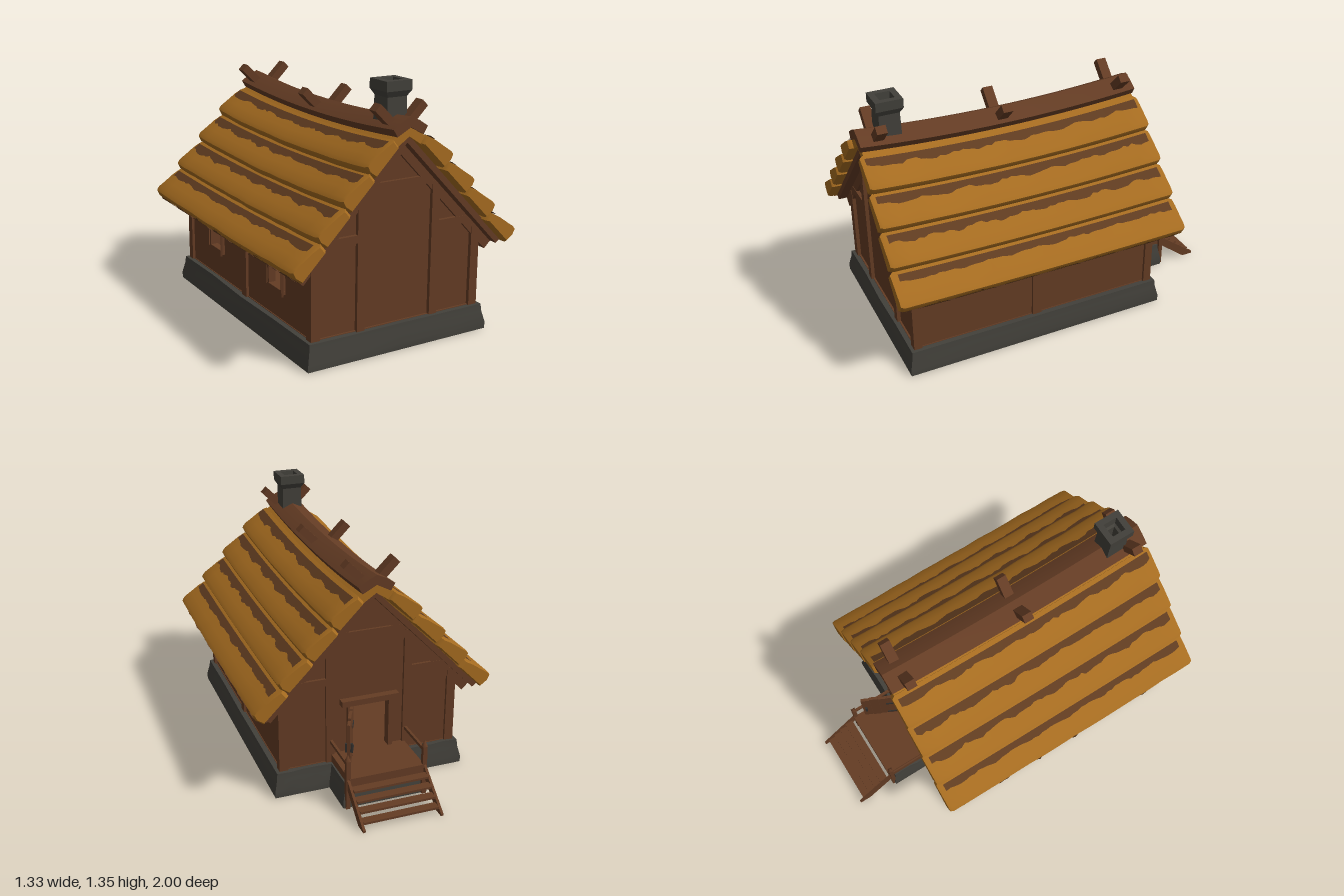
import * as THREE from 'three';
import { toCreasedNormals } from 'three/addons/utils/BufferGeometryUtils.js';

const mat = (name, color, side = THREE.FrontSide) => {
  const m = new THREE.MeshStandardMaterial({ color, side });
  m.name = name;
  return m;
};

export function createModel() {
  const wood = mat('wood', 0x643c24);
  const straw = mat('straw', 0xa66c20);
  const stone = mat('stone', 0x42403a);
  const iron = mat('iron', 0x33302d);
  const oldThatch = mat('old thatch', 0x603c20, THREE.DoubleSide);
  const root = new THREE.Group();
  root.name = 'cottage';

  let seed = 7;
  const rnd = () => (seed = (seed * 16807) % 2147483647) / 2147483647;

  const add = (name, geo, material, parent = root) => {
    const mesh = new THREE.Mesh(geo, material);
    mesh.name = name;
    parent.add(mesh);
    return mesh;
  };
  // box given by its ranges on each axis
  const box = (name, x0, x1, y0, y1, z0, z1, material = wood, parent = root) => {
    const mesh = add(name, new THREE.BoxGeometry(x1 - x0, y1 - y0, z1 - z0), material, parent);
    mesh.position.set((x0 + x1) / 2, (y0 + y1) / 2, (z0 + z1) / 2);
    return mesh;
  };
  // skin over closed rings; plane = axes used to triangulate the end caps
  const loft = (rings, plane, capStart, capEnd, crease = 0.6) => {
    const n = rings[0].length, pos = [];
    const tri = (...p) => p.forEach(v => pos.push(...v));
    for (let i = 0; i + 1 < rings.length; i++) for (let j = 0; j < n; j++) {
      const k = (j + 1) % n, a = rings[i], b = rings[i + 1];
      tri(a[j], a[k], b[k]);
      tri(a[j], b[k], b[j]);
    }
    const cap = (r, flip) => {
      const flat = r.map(p => new THREE.Vector2(p[plane[0]], p[plane[1]]));
      for (const [a, b, c] of THREE.ShapeUtils.triangulateShape(flat, []))
        flip ? tri(r[a], r[c], r[b]) : tri(r[a], r[b], r[c]);
    };
    if (capStart) cap(rings[0], true);
    if (capEnd) cap(rings[rings.length - 1], false);
    const g = new THREE.BufferGeometry();
    g.setAttribute('position', new THREE.Float32BufferAttribute(pos, 3));
    return toCreasedNormals(g, crease);
  };

  // ---- stone foundation ring, including the porch base
  const outline = [[-0.5, 0.9, -1, 1], [0.5, 0.9, 1, 1], [0.5, -0.52, 1, -1], [0.2, -0.52, 1, -1],
    [0.2, -0.73, 1, -1], [-0.2, -0.73, -1, -1], [-0.2, -0.52, -1, -1], [-0.5, -0.52, -1, -1]];
  const wobble = Array.from({ length: 32 }, (_, i) => (i % 4 ? (rnd() - 0.5) * 0.01 : 0));
  const ring = (d, y, w) => outline.flatMap((p, i) => {
    const q = outline[(i + 1) % 8];
    return [0, 1, 2, 3].map(k => {
      const t = k / 4, e = wobble[i * 4 + k] * w;
      const at = (c, s) => p[c] + p[s] * d + (q[c] + q[s] * d - p[c] - p[s] * d) * t;
      return [at(0, 2) + e, y + (y > 0.1 ? e * 0.7 : 0), at(1, 3) + e];
    });
  });
  add('foundation', loft([ring(0.035, 0, 0), ring(0.036, 0.035, 1), ring(0.022, 0.095, 1), ring(0.018, 0.134, 1),
    ring(-0.02, 0.134, 0), ring(-0.012, 0, 0), ring(0.035, 0, 0)], [2, 0], false, false), stone);
  box('floor', -0.49, 0.49, 0.115, 0.137, -0.51, 0.89);

  // ---- walls
  const rect = (P, x0, x1, y0, y1) => {
    const p = new P();
    p.moveTo(x0, y0).lineTo(x1, y0).lineTo(x1, y1).lineTo(x0, y1).closePath();
    return p;
  };
  const gable = holes => {
    const s = new THREE.Shape([[-0.48, 0.13], [0.48, 0.13], [0.48, 0.57], [0, 1.075], [-0.48, 0.57]]
      .map(p => new THREE.Vector2(...p)));
    s.holes.push(...holes);
    return new THREE.ExtrudeGeometry(s, { depth: 0.02, bevelEnabled: false });
  };
  add('frontWall', gable([]), wood).position.z = 0.86;
  add('backWall', gable([rect(THREE.Path, -0.11, 0.1, 0.178, 0.46)]), wood).position.z = -0.505;
  box('leftWall', 0.465, 0.485, 0.13, 0.57, -0.5, 0.87);
  const windows = [-0.15, 0.54];
  const side = rect(THREE.Shape, -0.5, 0.87, 0.13, 0.57);
  windows.forEach(z => side.holes.push(rect(THREE.Path, z - 0.065, z + 0.065, 0.3, 0.455)));
  add('rightWall', new THREE.ExtrudeGeometry(side, { depth: 0.02, bevelEnabled: false }).rotateY(-Math.PI / 2), wood)
    .position.x = -0.465;

  // ---- timber frame
  for (const s of [-1, 1]) {
    const sym = (name, a, b, ...r) => box(name, Math.min(s * a, s * b), Math.max(s * a, s * b), ...r);
    for (const [z0, z1] of [[0.855, 0.9], [-0.52, -0.475]]) {
      sym('cornerPost', 0.45, 0.5, 0.13, 0.575, z0, z1);
      sym('gablePost', 0.195, 0.24, 0.13, 0.84, z0, z1);
      sym('gableRail', 0.24, 0.45, 0.59, 0.63, z0, z1);
      const rafter = add('rafter', new THREE.BoxGeometry(0.81, 0.05, 0.04), wood);
      rafter.position.set(s * 0.28, 0.74, (z0 + z1) / 2);
      rafter.rotation.z = -s * 0.809;
    }
    sym('sidePost', 0.46, 0.5, 0.13, 0.575, 0.168, 0.22);
  }
  for (const z of [0.878, -0.498]) box('collarBeam', -0.195, 0.195, 0.83, 0.872, z - 0.02, z + 0.02);

  // ---- windows with open shutters
  for (const z of windows) {
    for (const y of [0.292, 0.463]) box('windowRail', -0.502, -0.46, y - 0.01, y + 0.01, z - 0.085, z + 0.085);
    for (const s of [-1, 1]) {
      box('windowJamb', -0.5, -0.46, 0.3, 0.455, z + s * 0.073 - 0.01, z + s * 0.073 + 0.01);
      const hinge = new THREE.Group();
      hinge.name = 'shutter';
      hinge.position.set(-0.5, 0, z + s * 0.078);
      hinge.rotation.y = -s * 0.45;
      root.add(hinge);
      const a = s * 0.068;
      box('shutterBoard', -0.008, 0.004, 0.296, 0.455, Math.min(0, a), Math.max(0, a), wood, hinge);
    }
  }

  // ---- doorway and open door
  box('doorLintel', -0.16, 0.16, 0.46, 0.492, -0.545, -0.48);
  for (const x of [-0.12, 0.11]) box('doorJamb', x - 0.012, x + 0.012, 0.178, 0.46, -0.53, -0.48);
  const door = new THREE.Group();
  door.name = 'door';
  door.position.set(0.1, 0, -0.527);
  door.rotation.y = -0.45;
  root.add(door);
  [0.46, 0.455, 0.462, 0.45].forEach((top, i) =>
    box('doorPlank', -0.008, 0.008, 0.182 + (i % 2) * 0.006, top, -0.051 * (i + 1), -0.051 * i - 0.001, wood, door));
  for (const y of [0.215, 0.363]) box('hinge', -0.012, 0.013, y - 0.008, y + 0.008, -0.065, 0, iron, door);
  box('doorHandle', -0.02, 0.02, 0.285, 0.335, -0.19, -0.178, iron, door);

  // ---- porch and stairs
  box('porchDeck', -0.21, 0.21, 0.125, 0.178, -0.78, -0.5);
  const stringer = new THREE.Shape([[-1, 0], [-0.935, 0], [-0.77, 0.125], [-0.77, 0.18], [-1, 0.012]]
    .map(p => new THREE.Vector2(...p)));
  for (const s of [-1, 1]) {
    const x = s * 0.213;
    add('stringer', new THREE.ExtrudeGeometry(stringer, { depth: 0.014, bevelEnabled: false }).rotateY(-Math.PI / 2), wood)
      .position.x = x + 0.007;
    box('porchPost', x - 0.012, x + 0.012, 0, 0.28, -0.778, -0.754);
    const knob = add('postKnob', new THREE.CylinderGeometry(0.002, 0.018, 0.035, 4, 1).rotateY(Math.PI / 4), wood);
    knob.position.set(x, 0.297, -0.766);
    box('handrail', x - 0.007, x + 0.007, 0.25, 0.268, -0.766, -0.51);
  }
  for (let i = 0; i < 4; i++)
    box('tread', -0.207, 0.207, 0.132 - i * 0.035, 0.144 - i * 0.035, -0.845 - i * 0.043, -0.797 - i * 0.043);

  // ---- sagging roof
  const sag = (x, y, z) => [x, y - 0.038 * Math.max(0, 1 - ((z - 0.19) / 0.8) ** 2) * Math.max(0, (y - 0.4) / 0.75), z];
  const mirror = pts => pts.map(([x, y]) => [-x, y]).reverse();
  const roofPart = (name, section, z0, z1, material, round = 1, rough = 0) => {
    const c = section.reduce((s, p) => [s[0] + p[0] / section.length, s[1] + p[1] / section.length], [0, 0]);
    const rings = [];
    const put = (z, k) => {
      const e = k === 1 ? (rnd() - 0.5) * rough : 0;
      rings.push(section.map(p => sag(c[0] + (p[0] - c[0]) * k + e, c[1] + (p[1] - c[1]) * k + e, z)));
    };
    if (round < 1) put(z0, round);
    for (let i = 0; i <= 16; i++) put(z0 + 0.018 + (z1 - z0 - 0.036) * i / 16, 1);
    if (round < 1) put(z1, round);
    add(name, loft(rings, [0, 1], true, true, 0.75), material);
  };
  // thin strip with a torn edge: inner(t) to outer(t), t random along the roof
  const torn = (name, s, inner, outer) => {
    const pos = [], idx = [], N = 60;
    for (let i = 0; i <= N; i++) {
      const z = -0.585 + 1.55 * i / N;
      const t = 0.5 + 0.25 * Math.sin(i * 0.7 + s) + (rnd() - 0.5) * 0.5;
      for (const [x, y] of [inner, outer(t)]) pos.push(...sag(s * x, y, z));
      if (i < N) idx.push(2 * i, 2 * i + 1, 2 * i + 2, 2 * i + 1, 2 * i + 3, 2 * i + 2);
    }
    const g = new THREE.BufferGeometry();
    g.setAttribute('position', new THREE.Float32BufferAttribute(pos, 3));
    g.setIndex(idx);
    // face the strip outwards on either slope
    if (s > 0) g.setIndex(idx.map((_, i) => idx[i - (i % 3) + 2 - (i % 3)]));
    g.computeVertexNormals();
    add(name, g, oldThatch);
  };
  const course = [[0.604, 0.482], [0.645, 0.512], [0.66, 0.543], [0.645, 0.562], [0.6, 0.592],
    [0.543, 0.632], [0.5, 0.655], [0.47, 0.618]];
  for (let k = 0; k < 4; k++) {
    const dx = -0.135 * k, dy = 0.147 * k;
    const sec = course.map(([x, y]) => [x + dx, y + dy]);
    for (const s of [-1, 1]) {
      roofPart('thatchCourse', s > 0 ? sec : mirror(sec), -0.618 + k * 0.003, 1 - k * 0.005, straw, 0.88, 0.004);
      torn('tornThatch', s, [0.525 + dx, 0.65 + dy], t => {
        const x = 0.553 + (k ? 0.024 : 0.016) * t;
        return [x + dx, 0.598 + (0.6 - x) * 0.7 + dy];
      });
    }
  }
  for (const s of [-1, 1])
    torn('eaveFringe', s, [0.607, 0.477], t => [0.63 + 0.036 * t, 0.492 + 0.046 * t]);
  roofPart('roofDeck', [[0.575, 0.468], [0.6, 0.487], [0, 1.112], [-0.6, 0.487], [-0.575, 0.468], [0, 1.069]],
    -0.59, 0.965, wood);
  roofPart('ridgeThatch', [[0.12, 1.02], [0.13, 1.07], [0, 1.155], [-0.13, 1.07], [-0.12, 1.02], [0, 1.1]],
    -0.61, 0.98, straw);
  roofPart('ridgeCap', [[0.075, 1.105], [0.098, 1.143], [0.05, 1.175], [0, 1.198], [-0.05, 1.175], [-0.098, 1.143],
    [-0.075, 1.105], [0, 1.145]], -0.617, 0.99, wood);

  // ---- crossed ridge poles
  for (const z of [0.87, 0.19, -0.505]) for (const s of [-1, 1]) {
    const pole = add('ridgePole', new THREE.BoxGeometry(0.18, 0.044, 0.055), wood);
    pole.position.set(...sag(s * 0.072, 1.184, z));
    pole.rotation.z = s * Math.PI / 4;
  }

  // ---- chimney with open flue
  const sq = (r, y) => [[-r, y, 0.8 + r], [r, y, 0.8 + r], [r, y, 0.8 - r], [-r, y, 0.8 - r]];
  add('chimney', loft([sq(0.06, 1.1), sq(0.056, 1.27), sq(0.073, 1.3), sq(0.073, 1.35), sq(0.04, 1.35),
    sq(0.036, 1.3), sq(0.022, 1.295), sq(0.022, 1.2)], [2, 0], true, true, 0.2), stone);
  return root;
}
